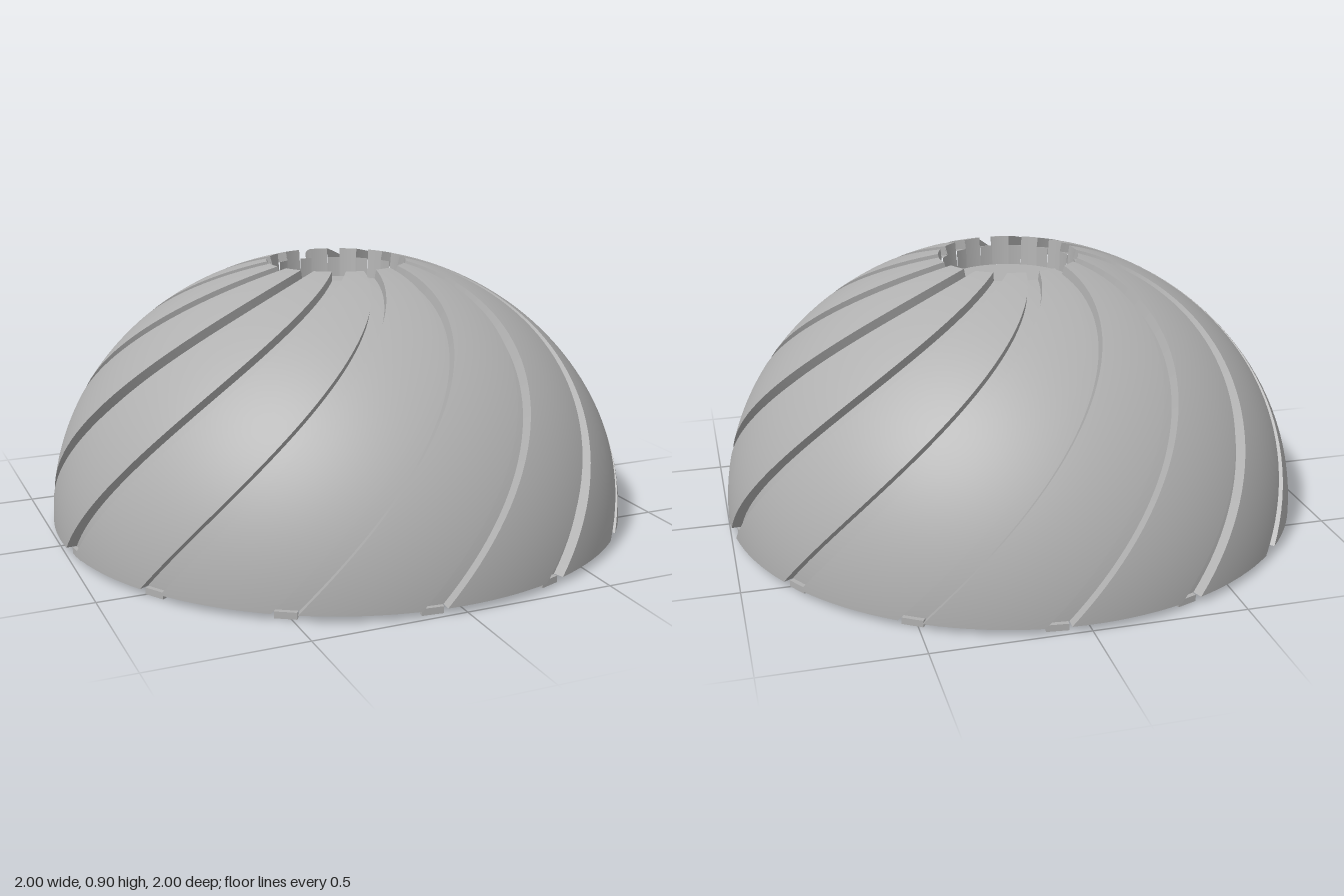
import * as THREE from 'three';
import { ParametricGeometry } from 'three/addons/geometries/ParametricGeometry.js';

const GROOVES = 14;
const STEP = (Math.PI * 2) / GROOVES;
const BASE_Y = 0.022, HEIGHT = 0.905, FLOOR_Y = 0.8;
const HUB_R = 0.23, INNER = 0.965;          // recess radius, groove floor scale
const PHI_TOP = Math.asin(0.24), PHI_RIM = Math.PI / 2;
const TWIST = 0.82, RIM_ANGLE = THREE.MathUtils.degToRad(6);
const { lerp } = THREE.MathUtils;

// Point on the dome at azimuth a and polar angle phi, scaled by s
function onDome(a, phi, s, target) {
  const r = Math.sin(phi) * s;
  return target.set(Math.sin(a) * r, BASE_Y + Math.cos(phi) * HEIGHT * s, -Math.cos(a) * r);
}

// Spiral centre line and angular half width of a groove
const centre = (phi) => RIM_ANGLE - TWIST * (PHI_RIM - phi);
function half(phi) {
  const r = Math.sin(phi);
  const width = lerp(0.045, 0.062, (phi - PHI_TOP) / (PHI_RIM - PHI_TOP));
  return (width / 2 / r) * Math.hypot(1, TWIST * r);
}
const grooveStart = (phi) => centre(phi) - half(phi);
const grooveEnd = (phi) => centre(phi) + half(phi);
const nextStart = (phi) => grooveStart(phi) + STEP;

// Curved strip of the dome between two spiral edges
const strip = (from, to, scale, slices) => new ParametricGeometry((u, v, t) => {
  const phi = lerp(PHI_TOP, PHI_RIM, v);
  onDome(lerp(from(phi), to(phi), u), phi, scale, t);
}, slices, 40);

// Side wall of a groove along one spiral edge
const sideWall = (edge, s0, s1) => new ParametricGeometry((u, v, t) => {
  const phi = lerp(PHI_TOP, PHI_RIM, v);
  onDome(edge(phi), phi, lerp(s0, s1, u), t);
}, 1, 40);

// Wall of the top recess, facing the axis
const hubWall = (from, to, scale) => new ParametricGeometry((u, v, t) => {
  const a = lerp(from(PHI_TOP), to(PHI_TOP), u);
  onDome(a, PHI_TOP, scale, t);
  t.set(lerp(Math.sin(a) * HUB_R, t.x, v), lerp(FLOOR_Y, t.y, v), lerp(-Math.cos(a) * HUB_R, t.z, v));
}, 4, 1);

export function createModel() {
  const model = new THREE.Group();
  model.name = 'flutedDome';
  const grey = new THREE.MeshStandardMaterial({ color: 0xb0b0b0 });
  grey.name = 'plainGrey';

  // Underside rim between the grooves
  const rim = new ParametricGeometry((u, v, t) => {
    const a = lerp(grooveEnd(PHI_RIM), nextStart(PHI_RIM), u);
    onDome(a, PHI_RIM, lerp(1, INNER, v), t);
  }, 8, 1);

  // Small lip hanging below each groove end
  const lip = new THREE.BoxGeometry(0.07, BASE_Y, 0.016);
  lip.translate(0, BASE_Y / 2, -0.972).rotateY(-RIM_ANGLE);

  const parts = {
    rib: strip(grooveEnd, nextStart, 1, 8),
    grooveFloor: strip(grooveStart, grooveEnd, INNER, 3),
    grooveWallA: sideWall(grooveStart, 1, INNER),
    grooveWallB: sideWall(grooveEnd, INNER, 1),
    recessWall: hubWall(grooveEnd, nextStart, 1),
    recessNotch: hubWall(grooveStart, grooveEnd, INNER),
    baseRim: rim,
    baseLip: lip,
  };

  // Repeat one rib and groove around the axis
  for (let i = 0; i < GROOVES; i++) {
    const sector = new THREE.Group();
    sector.name = 'sector' + (i + 1);
    sector.rotation.y = -i * STEP;
    for (const [name, geometry] of Object.entries(parts)) {
      const mesh = new THREE.Mesh(geometry, grey);
      mesh.name = name;
      sector.add(mesh);
    }
    model.add(sector);
  }

  // Flat floor of the recess and flat underside
  const discs = [['recessFloor', HUB_R, FLOOR_Y, -1], ['underside', INNER, BASE_Y, 1]];
  for (const [name, radius, y, turn] of discs) {
    const disc = new THREE.Mesh(new THREE.CircleGeometry(radius, 112), grey);
    disc.name = name;
    disc.rotation.x = (turn * Math.PI) / 2;
    disc.position.y = y;
    model.add(disc);
  }
  return model;
}
